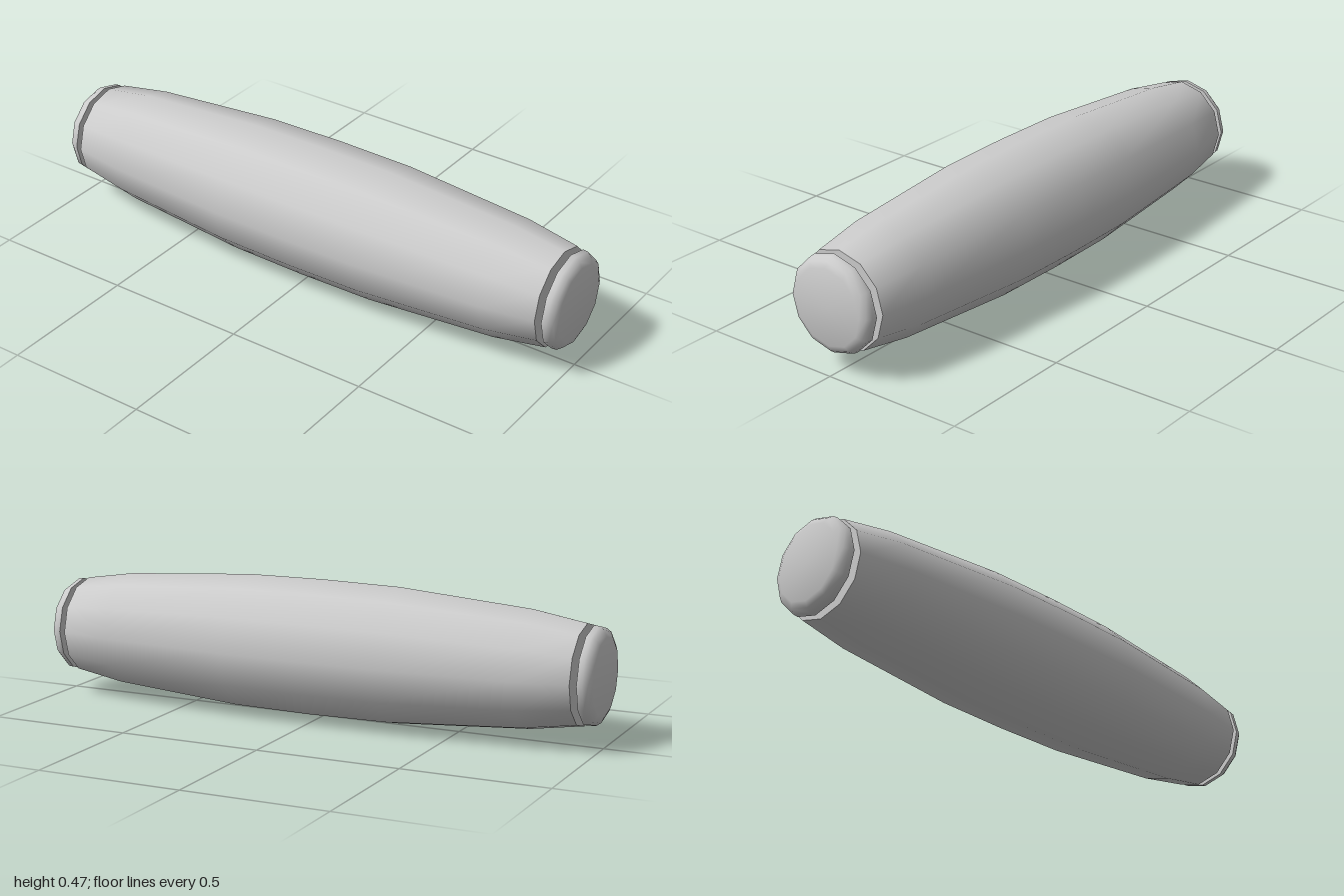
import * as THREE from 'three';
import { toCreasedNormals } from 'three/addons/utils/BufferGeometryUtils.js';

const SIDES = 12;
const RADIUS = 0.2375;
const material = new THREE.MeshStandardMaterial({ color: 0xcccccc });

// Turned part along the x axis; profile holds [x, radius] from -x to +x
function turned(name, profile) {
  const points = profile.map(([x, r]) => new THREE.Vector2(r, x));
  const geometry = new THREE.LatheGeometry(points, SIDES).rotateZ(-Math.PI / 2);
  const mesh = new THREE.Mesh(toCreasedNormals(geometry, 0.8), material);
  mesh.name = name;
  return mesh;
}

// Mirror a profile across x = 0
const mirrored = (profile) => profile.map(([x, r]) => [-x, r]).reverse();

export function createModel() {
  const group = new THREE.Group();
  group.name = 'barrelHandle';

  // Bulging grip, closed by flat ends
  const half = [[0.28, 0.234], [0.75, 0.2], [0.935, 0.17], [0.935, 0]];
  group.add(turned('grip', [...mirrored(half), [0, RADIUS], ...half]));

  // Rounded end caps, set off from the grip by a narrow gap
  const cap = [[0.957, 0], [0.957, 0.166], [0.975, 0.164], [0.991, 0.152], [1, 0.132], [1, 0]];
  group.add(turned('leftEndCap', cap));
  group.add(turned('rightEndCap', mirrored(cap)));

  group.position.y = RADIUS;
  return group;
}
